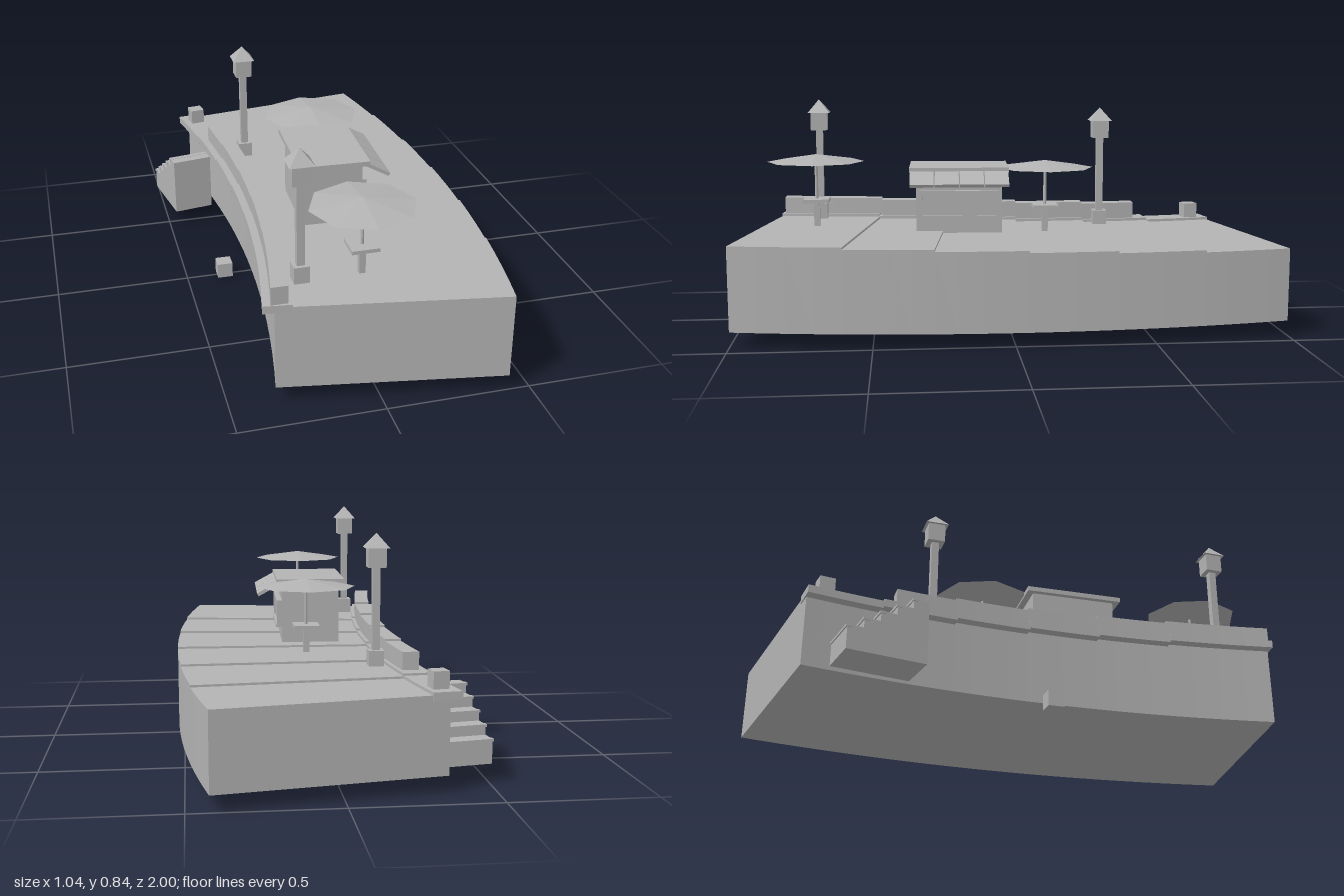
import * as THREE from 'three';

export function createModel() {
  const model = new THREE.Group();
  model.name = 'terrace';
  const stone = new THREE.MeshStandardMaterial({ color: 0xb3b3b3, flatShading: true });
  stone.name = 'plain grey';

  const add = (parent, name, geometry, x = 0, y = 0, z = 0) => {
    const mesh = new THREE.Mesh(geometry, stone);
    mesh.name = name;
    mesh.position.set(x, y, z);
    parent.add(mesh);
    return mesh;
  };
  // box given by its centre in plan and its bottom and top heights
  const box = (parent, name, x, z, w, d, y0, y1) =>
    add(parent, name, new THREE.BoxGeometry(w, y1 - y0, d), x, (y0 + y1) / 2, z);
  const group = (name, x, y, z, turn = 0) => {
    const g = new THREE.Group();
    g.name = name;
    g.position.set(x, y, z);
    g.rotation.y = turn;
    model.add(g);
    return g;
  };

  // curved edges of the terrace in plan
  const outerX = z => 0.522 - 0.096 * z * z;
  const innerX = z => -0.26 - 0.11 * z * z;

  // curved slab between two plan curves; a and b are [start z, end z] on each
  function slab(name, curveA, a, curveB, b, y0, y1) {
    const pts = [], n = 4;
    for (let i = 0; i <= n; i++) {
      const z = THREE.MathUtils.lerp(a[0], a[1], i / n);
      pts.push(new THREE.Vector2(curveA(z), -z));
    }
    for (let i = n; i >= 0; i--) {
      const z = THREE.MathUtils.lerp(b[0], b[1], i / n);
      pts.push(new THREE.Vector2(curveB(z), -z));
    }
    const geo = new THREE.ExtrudeGeometry(new THREE.Shape(pts), { depth: y1 - y0, bevelEnabled: false });
    geo.rotateX(-Math.PI / 2);
    add(model, name, geo, 0, y0, 0);
  }

  // stepped deck sections, each with its coping and parapet
  const outerZ = [1, 0.602, 0.284, -0.045, -0.36, -0.68, -1];
  const innerZ = [0.87, 0.475, 0.2, -0.067, -0.34, -0.61, -0.875];
  for (let i = 0; i < 6; i++) {
    const top = 0.36 - 0.0077 * i;
    const zo = [outerZ[i], outerZ[i + 1]];
    const zi = [innerZ[i], innerZ[i + 1]];
    const mid = zi.map((z, k) => z + (zo[k] - z) * 0.1);
    slab('deckSection', outerX, zo, innerX, zi, 0.055, top);
    slab('coping', z => innerX(z) - 0.04, zi, z => innerX(z) + 0.06, mid, top - 0.018, top + 0.01);
    if (zi[0] > -0.56) {
      const end = [zi[0], Math.max(zi[1], -0.56)];
      slab('parapet', z => innerX(z) - 0.012, end, z => innerX(z) + 0.046, end, top + 0.01, top + 0.074);
    }
  }
  box(model, 'gatePost', -0.318, -0.812, 0.055, 0.055, 0.325, 0.39).rotation.y = 0.15;
  box(model, 'looseBlock', -0.353, 0, 0.058, 0.058, 0, 0.058);

  // side stair, rising toward the front
  const stair = group('stair', -0.415, 0.055, -0.63, 0.17);
  for (let i = 0; i < 5; i++) {
    const back = -0.14 + 0.056 * i;
    box(stair, 'step', 0, (back + 0.14) / 2, 0.16, 0.14 - back, i ? 0.049 + 0.036 * i : 0, 0.085 + 0.036 * i);
    box(stair, 'nosing', -0.001, back + 0.006, 0.164, 0.02, 0.077 + 0.036 * i, 0.086 + 0.036 * i);
  }

  // lamp posts
  for (const [x, y, z] of [[-0.222, 0.36, 0.72], [-0.18, 0.325, -0.405]]) {
    const lamp = group('lampPost', x, y, z);
    box(lamp, 'lampBase', 0, 0, 0.054, 0.054, 0, 0.06);
    box(lamp, 'lampPole', 0, 0, 0.027, 0.027, 0.06, 0.355);
    box(lamp, 'lampHead', 0, 0, 0.064, 0.064, 0.355, 0.427);
    const roof = new THREE.ConeGeometry(0.06, 0.052, 4).rotateY(Math.PI / 4);
    add(lamp, 'lampRoof', roof, 0, 0.45, 0);
  }

  // parasols with small tables
  for (const [x, y, z] of [[-0.01, 0.36, 0.72], [0.042, 0.335, -0.155]]) {
    const set = group('parasolTable', x, y, z);
    box(set, 'tableLeg', 0, 0, 0.022, 0.022, 0, 0.095);
    box(set, 'tableTop', 0, 0, 0.096, 0.096, 0.094, 0.107);
    add(set, 'parasolPole', new THREE.CylinderGeometry(0.006, 0.006, 0.27, 8), 0, 0.14, 0);
    add(set, 'parasolCanopy', new THREE.ConeGeometry(0.184, 0.028, 8), 0, 0.263, 0);
  }

  // kiosk
  const kiosk = group('kiosk', 0, 0, 0.175, -0.035);
  box(kiosk, 'kioskBody', 0.002, 0, 0.22, 0.325, 0.34, 0.578);
  box(kiosk, 'kioskRoof', 0.003, 0, 0.262, 0.375, 0.576, 0.594);
  // serving window: frame, sill and recessed shutter
  for (const s of [-1, 1]) box(kiosk, 'windowJamb', 0.121, s * 0.143, 0.022, 0.012, 0.41, 0.505);
  box(kiosk, 'windowSill', 0.123, 0, 0.024, 0.298, 0.403, 0.413);
  box(kiosk, 'windowHead', 0.121, 0, 0.022, 0.298, 0.497, 0.507);
  box(kiosk, 'windowShutter', 0.117, 0, 0.016, 0.28, 0.412, 0.498);
  // awning in four sloping panels
  for (let i = 0; i < 4; i++) {
    const panel = add(kiosk, 'awningPanel', new THREE.BoxGeometry(0.095, 0.013, 0.089), 0.165, 0.557, -0.1395 + 0.093 * i);
    panel.rotation.z = -0.5;
  }
  return model;
}
